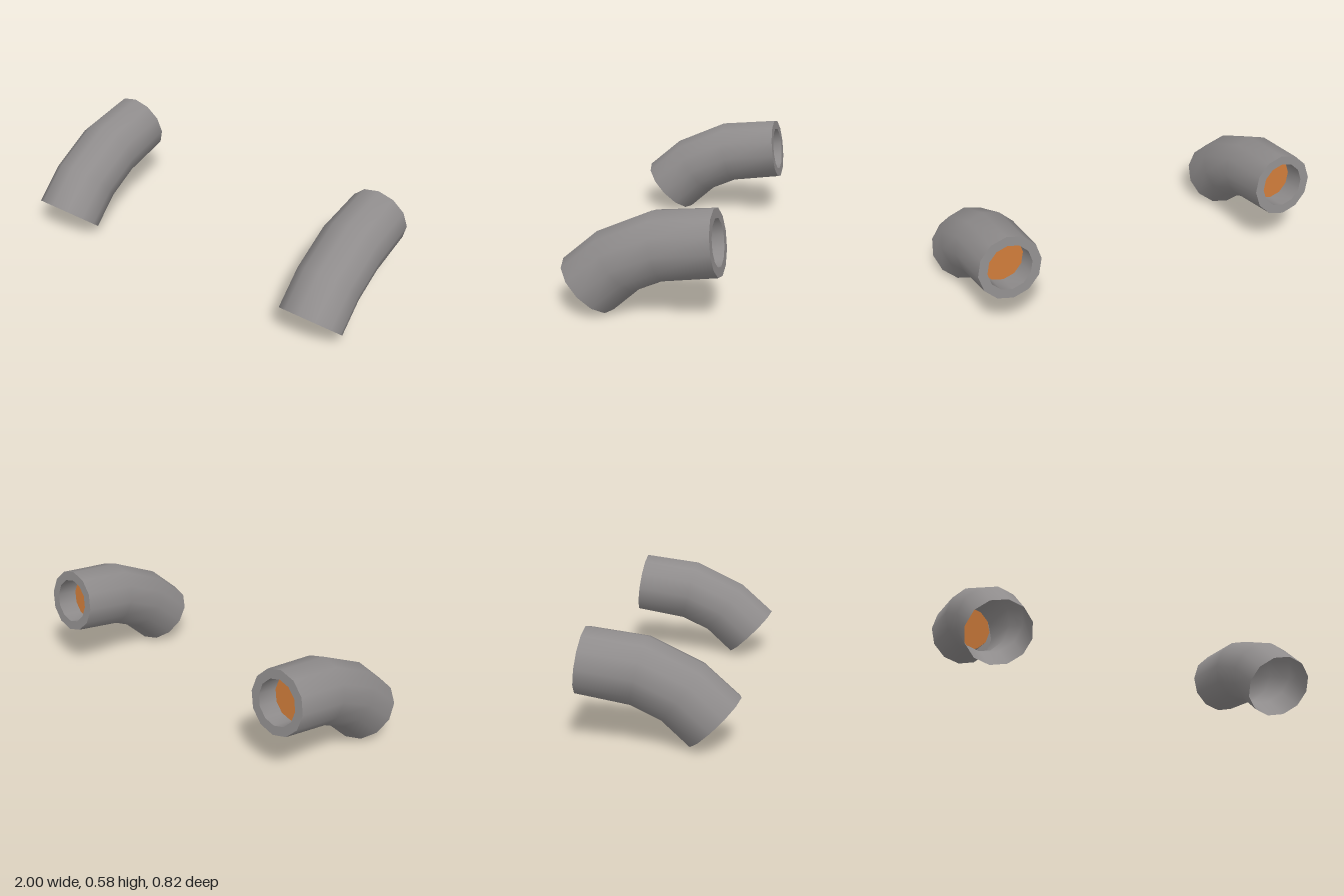
import * as THREE from 'three';

const SIDES = 12;

// A ring is centred at (z, y); (uz, uy) points from the centre to its top, r is its half width in x.
function ring(z, y, uz, uy, r) {
  return { z, y, uz, uy, r };
}

// Same ring, scaled about its centre and shifted along the pipe.
function derive(s, scale, dz = 0, dy = 0) {
  return ring(s.z + dz, s.y + dy, s.uz * scale, s.uy * scale, s.r * scale);
}

// Skin joining consecutive rings, with smooth normals.
function loft(rings) {
  const pos = [], idx = [];
  rings.forEach((s, i) => {
    for (let k = 0; k < SIDES; k++) {
      const a = (k / SIDES) * Math.PI * 2, c = Math.cos(a);
      pos.push(s.r * Math.sin(a), s.y + s.uy * c, s.z + s.uz * c);
      if (i < rings.length - 1) {
        const n = (k + 1) % SIDES, p = i * SIDES, q = p + SIDES;
        idx.push(p + k, p + n, q + k, p + n, q + n, q + k);
      }
    }
  });
  const g = new THREE.BufferGeometry();
  g.setAttribute('position', new THREE.Float32BufferAttribute(pos, 3));
  g.setIndex(idx);
  g.computeVertexNormals();
  return g;
}

export function createModel() {
  const metal = new THREE.MeshStandardMaterial({ color: 0x8f8c8c, side: THREE.DoubleSide });
  metal.name = 'grey metal';
  const orange = new THREE.MeshStandardMaterial({ color: 0xc87838, side: THREE.DoubleSide });
  orange.name = 'orange glow';

  // Bent pipe from the open front end to the back end
  const bend = [
    ring(0.281, 0.13, 0.129, 0.127, 0.18),
    ring(0.121, 0.2745, 0.109, 0.1425, 0.18),
    ring(-0.09, 0.373, 0.04, 0.175, 0.18),
    ring(-0.384, 0.414, 0.024, 0.171, 0.173),
  ];
  const end = bend[3];
  const mouth = derive(end, 0.71);
  const deep = derive(mouth, 1, 0.119, -0.017);

  const parts = [
    ['pipeShell', loft(bend), metal],
    ['backRim', loft([end, mouth]), metal],
    ['innerWall', loft([mouth, deep]), metal],
    ['glowDisc', loft([deep, derive(deep, 0)]), orange],
  ];

  const model = new THREE.Group();
  model.name = 'pipePair';
  for (const side of [1, -1]) {
    const pipe = new THREE.Group();
    pipe.name = side > 0 ? 'leftPipe' : 'rightPipe';
    pipe.position.x = side * 0.82;
    for (const [name, geometry, material] of parts) {
      const mesh = new THREE.Mesh(geometry, material);
      mesh.name = name;
      pipe.add(mesh);
    }
    model.add(pipe);
  }
  return model;
}
